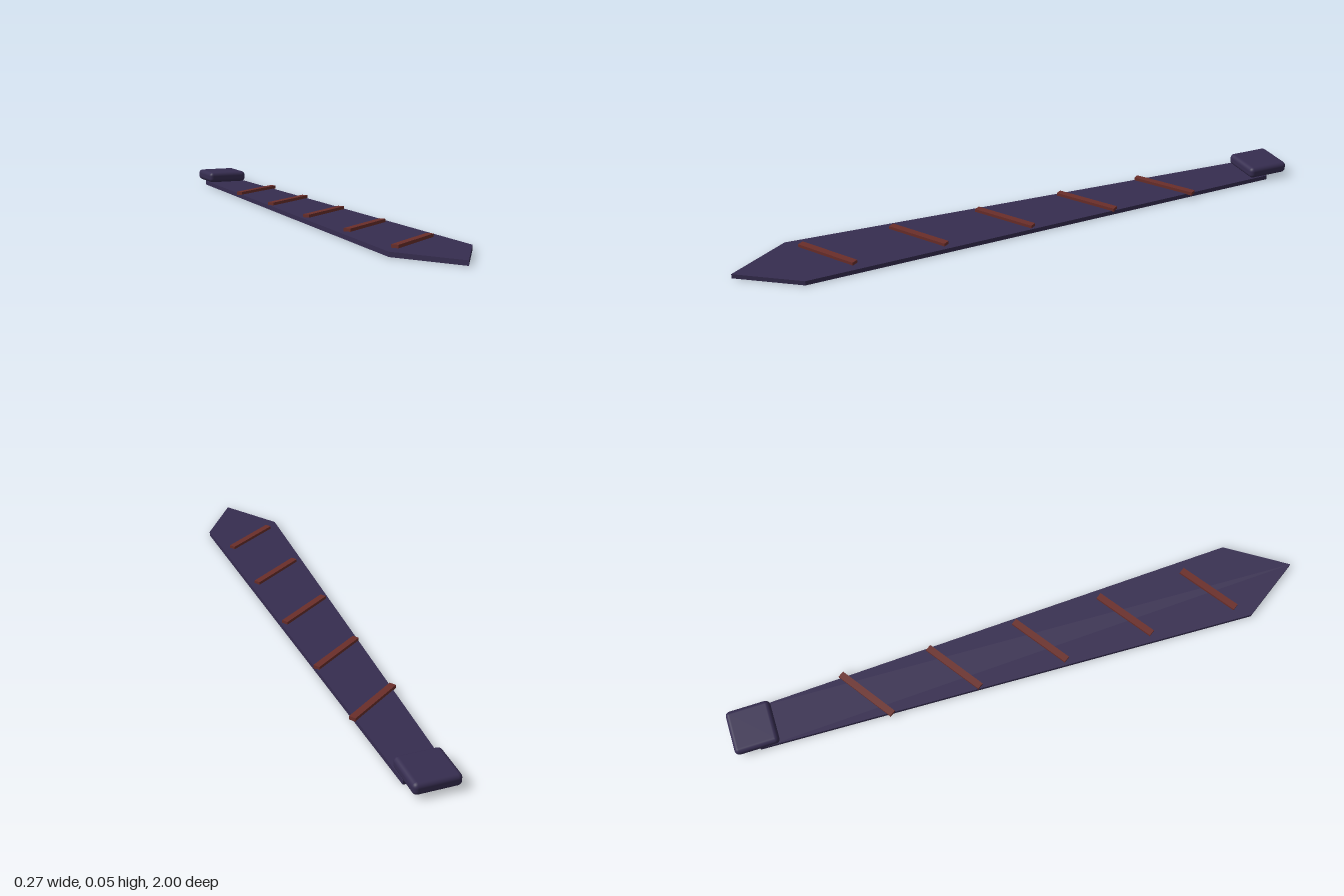
import * as THREE from 'three';
import { RoundedBoxGeometry } from 'three/addons/geometries/RoundedBoxGeometry.js';

export function createModel() {
  const tie = new THREE.Group();
  tie.name = 'necktie';

  const fabric = new THREE.MeshStandardMaterial({ color: 0x362d50 });
  fabric.name = 'dark violet fabric';
  const accent = new THREE.MeshStandardMaterial({ color: 0x6a2e2a });
  accent.name = 'rust red stripe';

  const add = (name, geometry, material, x, y, z) => {
    const mesh = new THREE.Mesh(geometry, material);
    mesh.name = name;
    mesh.position.set(x, y, z);
    tie.add(mesh);
    return mesh;
  };

  // Flat tapering blade with a pointed tip, lying on the ground
  const outline = new THREE.Shape([
    [0, -1], [0.134, -0.8], [0.071, 0.92], [-0.071, 0.92], [-0.134, -0.8],
  ].map(([x, y]) => new THREE.Vector2(x, y)));
  const bladeGeometry = new THREE.ExtrudeGeometry(outline, { depth: 0.015, bevelEnabled: false });
  bladeGeometry.rotateX(-Math.PI / 2);
  add('blade', bladeGeometry, fabric, 0, 0, 0);

  // Softly rounded knot overhanging the narrow end
  add('knot', new RoundedBoxGeometry(0.15, 0.04, 0.15, 3, 0.015), fabric, 0, 0.034, -0.925);

  // Evenly spaced diagonal raised stripes
  const stripeGeometry = new THREE.BoxGeometry(0.226, 0.012, 0.023);
  for (let i = 0; i < 5; i++) {
    const stripe = add(`stripe${i + 1}`, stripeGeometry, accent, 0, 0.019, 0.693 - i * 0.307);
    stripe.rotation.y = 0.6;
  }

  return tie;
}
